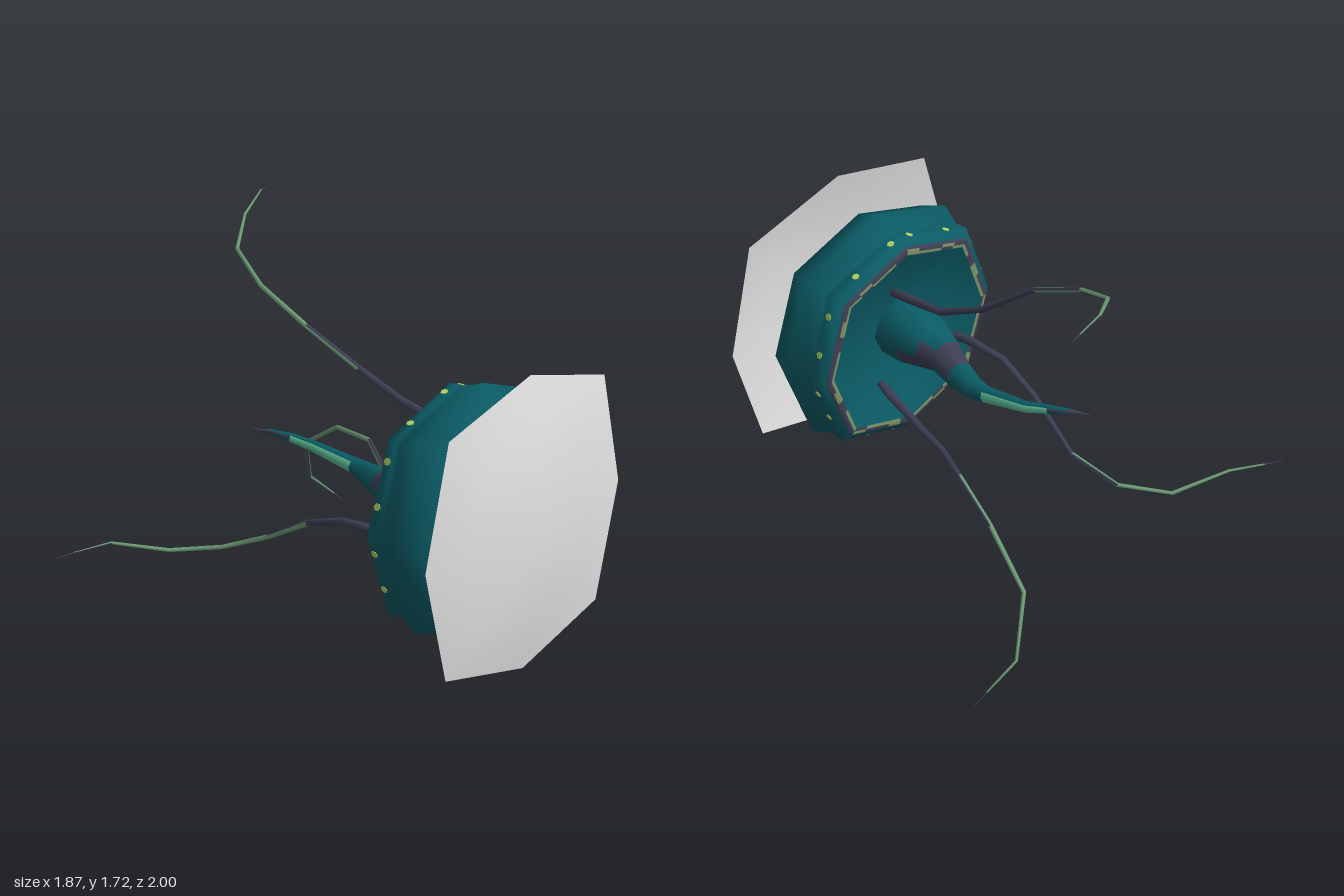
import * as THREE from 'three';
import { mergeVertices } from 'three/addons/utils/BufferGeometryUtils.js';

const mat = (name, color) => {
  const m = new THREE.MeshStandardMaterial({ color, side: THREE.DoubleSide });
  m.name = name;
  return m;
};
const CY = 0.715; // height of the body axis

// Ring of an octagon in the xy plane; `bulge` pushes out the diagonal corners,
// `sub` cuts each side into pieces
function octagon(r, sub = 1, bulge = 1.05) {
  const corner = (k) => {
    const a = (k * Math.PI) / 4;
    const s = k % 2 ? r * bulge : r;
    return new THREE.Vector3(Math.cos(a) * s, Math.sin(a) * s, 0);
  };
  const pts = [];
  for (let k = 0; k < 8; k++) {
    for (let s = 0; s < sub; s++) pts.push(corner(k).lerp(corner(k + 1), s / sub));
  }
  return pts;
}

// Skin over rings; pick(i, j) gives the material index of a quad
function loft(name, rings, materials, pick = () => 0) {
  const n = rings[0].length;
  const buckets = materials.map(() => []);
  for (let i = 0; i < rings.length - 1; i++) {
    for (let j = 0; j < n; j++) {
      const a = i * n + j, b = i * n + ((j + 1) % n), c = a + n, d = b + n;
      buckets[pick(i, j)].push(a, c, b, b, c, d);
    }
  }
  let g = new THREE.BufferGeometry().setFromPoints(rings.flat());
  g.setIndex(buckets.flat());
  g = mergeVertices(g); // joins the points of a closed tip
  let start = 0;
  buckets.forEach((b, k) => {
    g.addGroup(start, b.length, k);
    start += b.length;
  });
  g.computeVertexNormals();
  const mesh = new THREE.Mesh(g, materials);
  mesh.name = name;
  return mesh;
}

// Octagonal turning about the z axis from [radius, z] pairs
function turned(name, profile, materials, pick, sub, bulge) {
  const rings = profile.map(([r, z]) => octagon(r, sub, bulge).map((p) => p.add(new THREE.Vector3(0, CY, z))));
  return loft(name, rings, materials, pick);
}

// Tapered limb through [x, y, z, radius] stations
function limb(name, stations, sides, materials, pick) {
  const P = stations.map((s) => new THREE.Vector3(s[0], s[1], s[2]));
  const back = new THREE.Vector3(0, 0, -1);
  const rings = P.map((p, i) => {
    const t = P[Math.min(i + 1, P.length - 1)].clone().sub(P[Math.max(i - 1, 0)]).normalize();
    const q = new THREE.Quaternion().setFromUnitVectors(back, t);
    return Array.from({ length: sides }, (_, j) => {
      const a = (j / sides) * Math.PI * 2;
      return new THREE.Vector3(Math.cos(a), Math.sin(a), 0).multiplyScalar(stations[i][3]).applyQuaternion(q).add(p);
    });
  });
  return loft(name, rings, materials, pick);
}

export function createModel() {
  const grey = mat('pale grey', 0xe6e6e6);
  const teal = mat('deep teal', 0x0b5c66);
  const purple = mat('dusky purple', 0x3f4056);
  const mint = mat('mint green', 0x5fc49a);
  const sage = mat('sage green', 0x6f9f78);
  const olive = mat('olive', 0x7f9468);
  const lime = mat('lime spot', 0xb2d465);
  const jade = mat('jade green', 0x4bab84);

  const model = new THREE.Group();
  model.name = 'creature';

  // Shallow lens in front
  model.add(turned('frontLens', [[0, 1], [0.44, 0.952], [0.66, 0.905]], [grey], undefined, 1, 1.12));

  // Body: face, shell, rim and hollow back
  model.add(turned('faceCone', [[0, 0.89], [0.18, 0.845]], [jade]));
  model.add(turned('facePlate', [[0.18, 0.845], [0.35, 0.845]], [teal]));
  const dashes = [0, 0, 1, 0, 0, 0, 1];
  model.add(turned('faceTrim', [[0.35, 0.845], [0.37, 0.843], [0.375, 0.828]], [olive, purple],
    (i, j) => dashes[(j + 2 * i) % 7], 5));
  model.add(turned('shell', [
    [0.375, 0.828], [0.52, 0.775], [0.57, 0.66], [0.525, 0.555],
    [0.53, 0.53], [0.53, 0.49], [0.494, 0.463],
  ], [teal]));
  model.add(turned('rimTrim', [[0.494, 0.463], [0.484, 0.455], [0.468, 0.454], [0.452, 0.456]], [olive, purple],
    (i, j) => (i === 0 ? 1 : i === 1 ? 1 - dashes[(j + 3) % 7] : dashes[j % 7]), 5));
  model.add(turned('hollowBack', [[0.452, 0.456], [0.36, 0.5], [0.22, 0.55], [0, 0.575]], [teal]));

  // Glowing spots around the rear band, unevenly spaced along each side
  const spots = new THREE.Group();
  spots.name = 'spots';
  const corners = octagon(0.53);
  const spacing = [
    [0.33, 0.78], [0.34, 0.87], [0.15, 0.71], [0.22, 0.68],
    [0.2, 0.66], [0.3, 0.8], [0.2, 0.6], [0.4, 0.81],
  ];
  spacing.forEach((pair, k) => {
    const a = corners[k], b = corners[(k + 1) % 8];
    for (const f of pair) {
      const spot = new THREE.Mesh(new THREE.CylinderGeometry(0.017, 0.017, 0.006, 6), lime);
      spot.name = 'spot';
      spot.position.lerpVectors(a, b, f).add(new THREE.Vector3(0, CY, 0.507));
      spot.rotation.z = Math.atan2(b.y - a.y, b.x - a.x);
      spots.add(spot);
    }
  });
  model.add(spots);

  // Thick tail, mottled, with a mint underside
  const tail = [
    [-0.03, 0.72, 0.57, 0.145], [-0.035, 0.725, 0.44, 0.145], [-0.04, 0.71, 0.35, 0.115],
    [-0.04, 0.695, 0.26, 0.085], [0.005, 0.69, 0.12, 0.067], [0.035, 0.7, 0, 0.05],
    [0.04, 0.715, -0.08, 0.037], [0.015, 0.757, -0.3, 0.026], [-0.02, 0.782, -0.4, 0.021],
    [-0.06, 0.798, -0.49, 0.013], [-0.1, 0.803, -0.57, 0.002],
  ];
  const purplePatches = { 1: [4, 6, 7], 2: [0, 3, 4, 7], 3: [0, 1, 2, 3], 8: [0, 3, 6], 9: [0, 1, 2, 3, 4, 5, 6, 7] };
  model.add(limb('tail', tail, 8, [teal, purple, mint], (i, j) => {
    if (i === 6 || i === 7) return j === 0 || j >= 3 ? 2 : 0;
    return purplePatches[i]?.includes(j) ? 1 : 0;
  }));

  // Three long whip tentacles
  const whips = {
    upperTentacle: [
      [0.06, 0.98, 0.49], [0.075, 1.01, 0.4], [0.085, 1.06, 0.16], [0.05, 1.17, -0.06], [-0.045, 1.34, -0.28],
      [-0.05, 1.47, -0.54], [0.03, 1.58, -0.76], [0.23, 1.67, -0.9], [0.43, 1.73, -0.985], [0.49, 1.73, -0.998],
    ],
    rightTentacle: [
      [-0.23, 0.6, 0.49], [-0.27, 0.615, 0.38], [-0.285, 0.61, 0.14], [-0.265, 0.535, -0.08], [-0.23, 0.38, -0.35],
      [-0.3, 0.29, -0.57], [-0.45, 0.27, -0.76], [-0.68, 0.345, -0.89], [-0.84, 0.33, -0.96], [-0.93, 0.32, -0.995],
    ],
    leftTentacle: [
      [0.16, 0.53, 0.48], [0.17, 0.505, 0.4], [0.22, 0.49, 0.15], [0.3, 0.54, -0.08], [0.45, 0.645, -0.34],
      [0.55, 0.61, -0.63], [0.61, 0.45, -0.885], [0.74, 0.21, -0.975], [0.87, 0.09, -0.935], [0.935, 0.015, -0.91],
    ],
  };
  const radii = [0.019, 0.023, 0.018, 0.015, 0.012, 0.011, 0.01, 0.007, 0.004, 0.0015];
  for (const [name, path] of Object.entries(whips)) {
    model.add(limb(name, path.map((p, i) => [...p, radii[i]]), 5, [purple, sage],
      (i, j) => (i >= 3 && i < 8 && (i + j) % 5 < (i === 3 ? 2 : 4) ? 1 : 0)));
  }
  return model;
}
